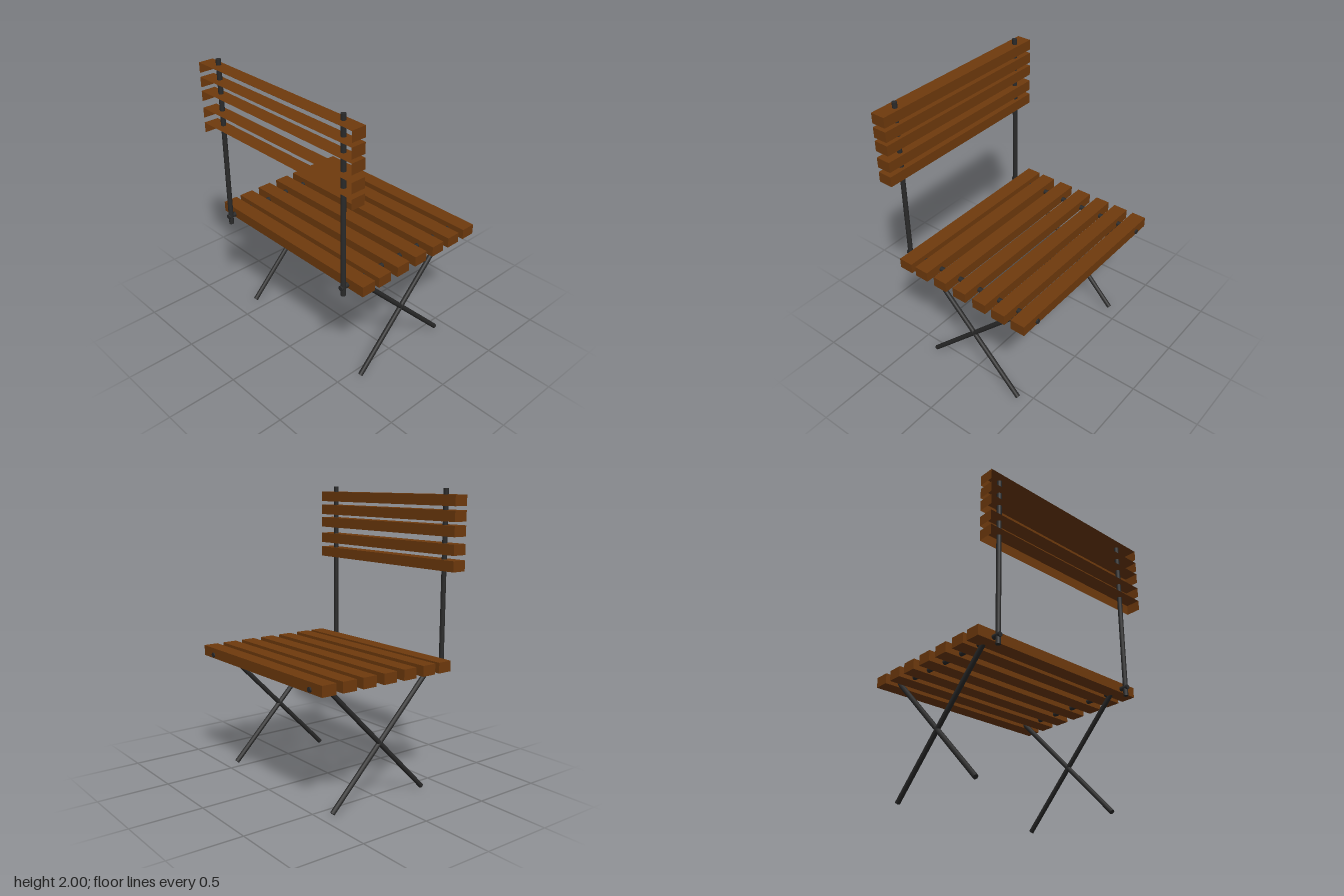
import * as THREE from 'three';

const wood = new THREE.MeshStandardMaterial({ color: 0x6f3a0d, side: THREE.DoubleSide });
const iron = new THREE.MeshStandardMaterial({ color: 0x2a2a2a });

const SLAT_LENGTH = 1.41, SLAT_DEPTH = 0.105, SLAT_HEIGHT = 0.072;

// Round bar between two points
function bar(name, from, to, radius = 0.017) {
  const a = new THREE.Vector3(...from), b = new THREE.Vector3(...to);
  const dir = b.clone().sub(a);
  const mesh = new THREE.Mesh(new THREE.CylinderGeometry(radius, radius, dir.length(), 12), iron);
  mesh.position.copy(a).add(b).multiplyScalar(0.5);
  mesh.quaternion.setFromUnitVectors(new THREE.Vector3(0, 1, 0), dir.normalize());
  mesh.name = name;
  return mesh;
}

// Slat; an open one is a shell without its front and underside
function slat(name, y, z, open) {
  const geo = new THREE.BoxGeometry(SLAT_LENGTH, SLAT_HEIGHT, SLAT_DEPTH);
  if (open) {
    // Box sides come in the order +x, -x, +y, -y, +z, -z, six indices each
    const index = Array.from(geo.index.array);
    geo.setIndex([...index.slice(0, 18), ...index.slice(30)]);
    geo.clearGroups();
  }
  const mesh = new THREE.Mesh(geo, wood);
  mesh.position.set(0, y, z);
  mesh.name = name;
  return mesh;
}

export function createModel() {
  const model = new THREE.Group();
  model.name = 'foldingChair';

  // Seat slats
  const seat = new THREE.Group();
  seat.name = 'seat';
  for (const z of [-0.522, -0.368, -0.212, -0.046, 0.12, 0.286, 0.427]) {
    seat.add(slat('seatSlat', 0.852, z, false));
  }

  // Backrest slats
  const backrest = new THREE.Group();
  backrest.name = 'backrest';
  for (const y of [1.925, 1.826, 1.73, 1.611, 1.505]) {
    backrest.add(slat('backrestSlat', y, 0.53, true));
  }
  model.add(seat, backrest);

  // Iron frame: upright, seat rail and crossed legs on each side
  for (const [side, x] of [['right', -0.582], ['left', 0.572]]) {
    const frame = new THREE.Group();
    frame.name = side + 'Frame';
    const legX = x - 0.009;
    frame.add(
      bar('backPost', [x, 0.78, 0.517], [x, 2, 0.517]),
      bar('seatRail', [x - 0.002, 0.84, -0.584], [x - 0.002, 0.84, 0.54]),
      bar('crossLeg', [legX, 0.013, 0.347], [legX, 0.845, -0.472]),
      bar('crossLeg', [legX, 0.013, -0.412], [legX, 0.845, 0.41]),
    );
    model.add(frame);
  }
  return model;
}
